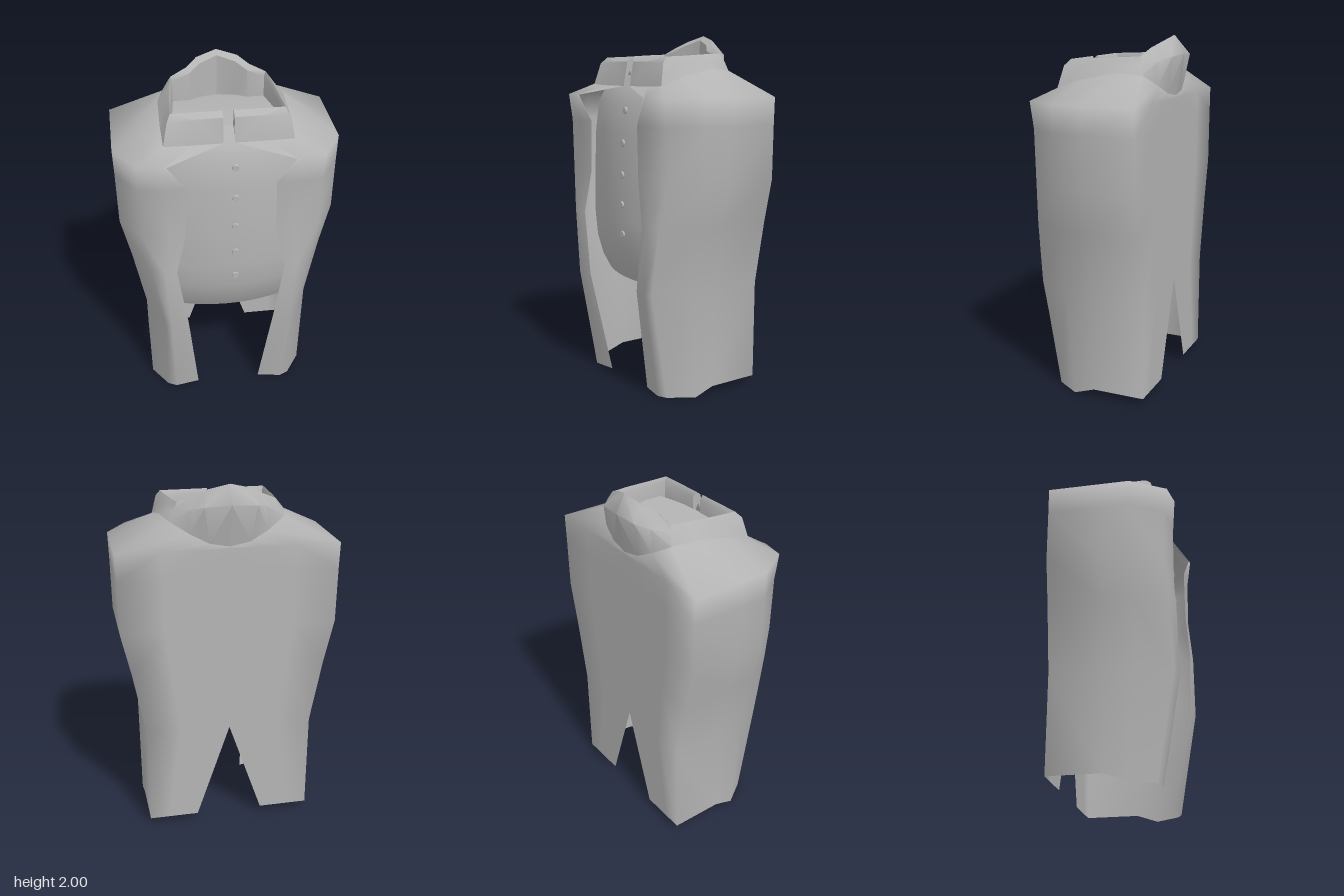
import * as THREE from 'three';
import { toCreasedNormals } from 'three/addons/utils/BufferGeometryUtils.js';

const cloth = new THREE.MeshStandardMaterial({ color: 0xb4b4b4, side: THREE.DoubleSide });
cloth.name = 'grey cloth';

// Skin a grid of rows of [x, y, z] points; side = -1 builds the mirror image.
function loft(rows, side = 1, crease = 0) {
  const n = rows[0].length, index = [];
  const pos = rows.flat().flatMap(([x, y, z]) => [x * side, y, z]);
  for (let i = 0; i < rows.length - 1; i++) {
    for (let j = 0; j < n - 1; j++) {
      const a = i * n + j, b = a + 1, c = a + n, d = c + 1;
      if (side > 0) index.push(a, b, d, a, d, c);
      else index.push(a, d, b, a, c, d);
    }
  }
  const g = new THREE.BufferGeometry();
  g.setAttribute('position', new THREE.Float32BufferAttribute(pos, 3));
  g.setIndex(index);
  g.computeVertexNormals();
  return crease ? toCreasedNormals(g, crease) : g;
}

function part(name, geometry) {
  const m = new THREE.Mesh(geometry, cloth);
  m.name = name;
  return m;
}

// Neck stations from the front gap round to the centre back:
// base x y z, outer fold x y z, inner rim x z, crest height
const NECK = [
  [0.03, 1.715, 0.24, 0.03, 1.85, 0.215, 0.03, 0.165, 1.875],
  [0.2, 1.715, 0.24, 0.18, 1.85, 0.215, 0.17, 0.165, 1.875],
  [0.345, 1.72, 0.245, 0.32, 1.84, 0.215, 0.29, 0.165, 1.875],
  [0.35, 1.77, 0.1, 0.315, 1.85, 0.08, 0.28, 0.05, 1.88],
  [0.345, 1.81, -0.1, 0.305, 1.86, -0.1, 0.265, -0.1, 1.89],
  [0.31, 1.8, -0.24, 0.28, 1.86, -0.225, 0.255, -0.2, 1.895],
  [0.21, 1.74, -0.29, 0.2, 1.87, -0.29, 0.16, -0.2, 1.935],
  [0.11, 1.69, -0.31, 0.14, 1.89, -0.345, 0.1, -0.245, 1.97],
  [0, 1.67, -0.315, 0, 1.9, -0.36, 0, -0.275, 2],
];

// Coat levels: y, front edge x z, front bulge x z, side x, half width of the back slit
const LEVELS = [
  [0, 0.19, 0.235, 0.33, 0.26, 0.47, 0.19],
  [0.6, 0.25, 0.345, 0.35, 0.36, 0.475, 0],
  [0.97, 0.305, 0.345, 0.37, 0.355, 0.545, 0],
  [1.21, 0.25, 0.33, 0.34, 0.335, 0.6, 0],
  [1.51, 0.24, 0.33, 0.34, 0.34, 0.605, 0],
  [1.66, 0.34, 0.355, 0.36, 0.36, 0.61, 0],
];

function coatRows() {
  const rows = LEVELS.map(([y, ex, ez, bx, bz, sx, slit]) => {
    const back = y === 0 ? 0.04 : y; // the hem is slightly higher behind
    const across = (t) => [slit + (sx - slit) * t, back, -0.32];
    return [
      [ex, y, ez], [bx, y, bz], [sx * 0.81, y, bz - 0.025],
      [sx, y, y === 0 ? 0.1 : 0.14], [sx, back, -0.02],
      across(1), across(0.6), across(0.3), across(0),
    ];
  });
  rows.push(NECK.map((s) => s.slice(0, 3))); // shoulders rise to the neck
  return rows;
}

function collarRows() {
  const sections = NECK.map(([bx, by, bz, ox, oy, oz, ix, iz, top]) => [
    [bx, by, bz],
    [ox, oy, oz],
    [(ox + 2 * ix) / 3, top, (oz + 2 * iz) / 3],
    [ix, top - 0.025, iz],
    [ix, 1.73, iz],
  ]);
  // close the front end
  sections.unshift(sections[0].map(() => [0.03, 1.8, 0.2]));
  return sections[0].map((_, i) => sections.map((s) => s[i]));
}

// Waistcoat front profile: y, z, half width; the last rows close the neck opening
const VEST = [
  [0.59, 0.2, 0.4], [0.68, 0.25, 0.41], [0.8, 0.285, 0.43], [0.95, 0.298, 0.45],
  [1.2, 0.295, 0.45], [1.45, 0.285, 0.45], [1.62, 0.265, 0.42], [1.7, 0.225, 0.37],
  [1.775, 0.17, 0.3], [1.78, 0, 0.3], [1.74, -0.27, 0.24],
];

function vestRows() {
  return VEST.map(([y, z, w]) => {
    const row = [];
    for (let i = -6; i <= 6; i++) {
      const x = (w * i) / 6;
      row.push([x, y, z < 0.1 ? z : z - 0.55 * x * x]);
    }
    return row;
  });
}

// Surface depth of the waistcoat at a given height
function vestZ(y) {
  const i = VEST.findIndex((r) => r[0] > y);
  const [y0, z0] = VEST[i - 1], [y1, z1] = VEST[i];
  return z0 + ((z1 - z0) * (y - y0)) / (y1 - y0);
}

export function createModel() {
  const model = new THREE.Group();
  model.name = 'tailcoat';

  // Coat and collar halves
  for (const [side, label] of [[1, 'left'], [-1, 'right']]) {
    model.add(part(label + 'Coat', loft(coatRows(), side)));
    model.add(part(label + 'Collar', loft(collarRows(), side, 0.7)));
  }

  model.add(part('waistcoat', loft(vestRows(), 1, 0.7)));

  // Buttons down the waistcoat
  const disc = new THREE.CylinderGeometry(0.018, 0.022, 0.014, 12).rotateX(Math.PI / 2);
  for (const y of [1.58, 1.4, 1.22, 1.05, 0.88]) {
    const button = part('button', disc);
    button.position.set(0.03, y, vestZ(y) + 0.001);
    model.add(button);
  }
  return model;
}
